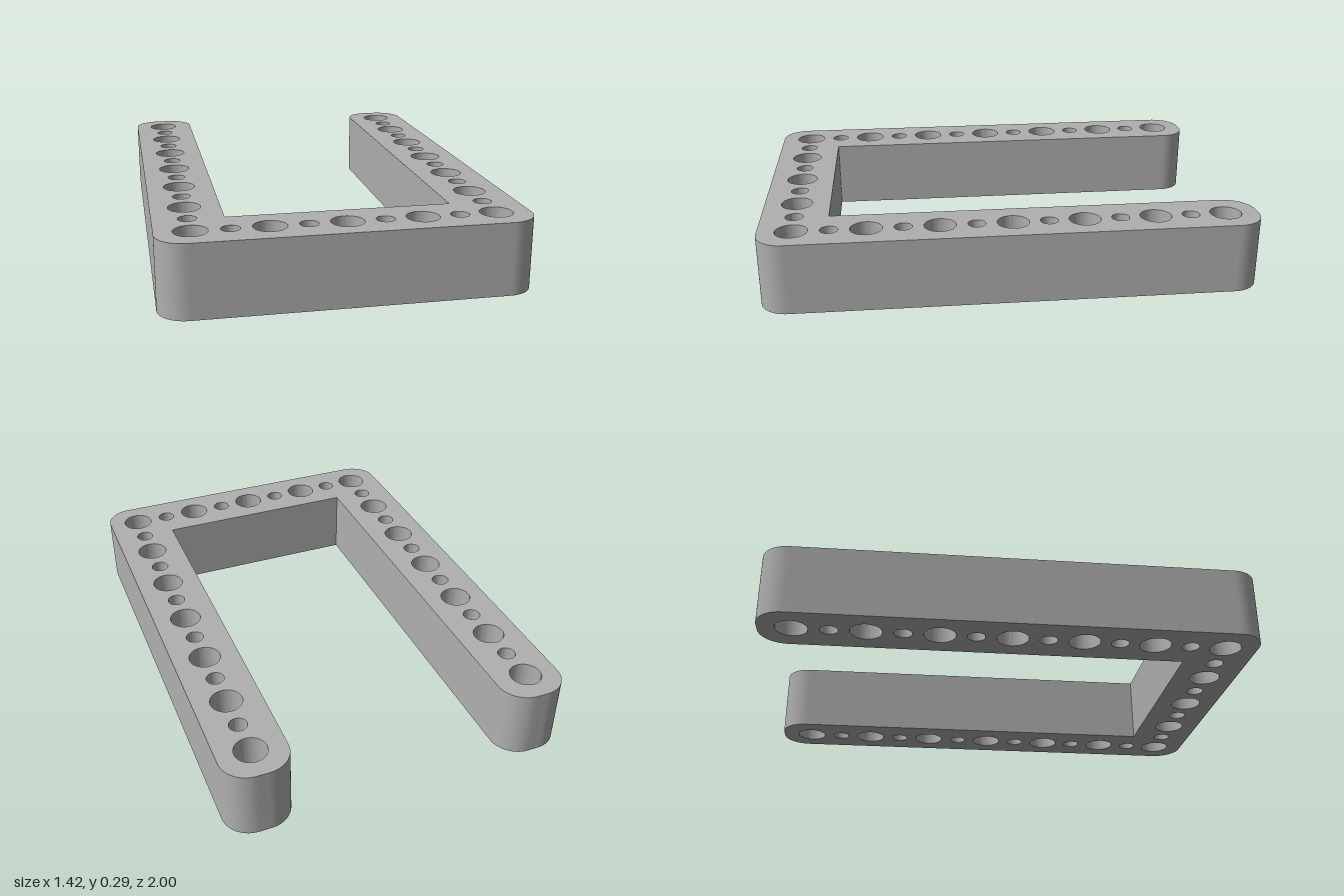
import * as THREE from 'three';
import { toCreasedNormals } from 'three/addons/utils/BufferGeometryUtils.js';

const HEIGHT = 0.289;   // thickness of the frame
const PITCH = 0.289;    // spacing between large holes
const OUT = 0.711;      // outer half width
const IN = 0.439;       // inner half width
const R = 0.112;        // outer corner radius
const BIG = 0.064, SMALL = 0.036;

// Closed outline from corners [x, z, radius]; shape y is -z
function roundedOutline(corners) {
  const shape = new THREE.Shape();
  const pts = corners.map(([x, z]) => new THREE.Vector2(x, -z));
  const n = pts.length;
  corners.forEach(([, , r], i) => {
    const p = pts[i];
    const toPrev = pts[(i + n - 1) % n].clone().sub(p).normalize();
    const toNext = pts[(i + 1) % n].clone().sub(p).normalize();
    const a = p.clone().addScaledVector(toPrev, r);
    if (i === 0) shape.moveTo(a.x, a.y);
    else shape.lineTo(a.x, a.y);
    if (r > 0) {
      const c = a.clone().addScaledVector(toNext, r);
      const e = p.clone().addScaledVector(toNext, r);
      const start = Math.atan2(a.y - c.y, a.x - c.x);
      const end = Math.atan2(e.y - c.y, e.x - c.x);
      shape.absarc(c.x, c.y, r, start, end, false);
    }
  });
  shape.closePath();
  return shape;
}

export function createModel() {
  const group = new THREE.Group();
  group.name = 'perforatedFrame';
  const grey = new THREE.MeshStandardMaterial({ color: 0xb0b0b0 });
  grey.name = 'grey';

  // U-shaped outline, anticlockwise seen from above
  const shape = roundedOutline([
    [-OUT, 1, R], [OUT, 1, R], [OUT, -1, R], [IN, -1, R],
    [IN, 0.729, 0], [-IN, 0.729, 0], [-IN, -1, R], [-OUT, -1, R],
  ]);

  // Alternating large and small through holes
  const hole = (x, z, r) => {
    const path = new THREE.Path();
    path.absarc(x, -z, r, 0, Math.PI * 2, true);
    shape.holes.push(path);
  };
  const row = 3 * PITCH, side = 2 * PITCH;
  for (let i = 0; i <= 12; i++) {
    for (const s of [-1, 1]) hole(s * side, row - i * PITCH / 2, i % 2 ? SMALL : BIG);
  }
  for (let i = -3; i <= 3; i++) hole(i * PITCH / 2, row, i % 2 ? SMALL : BIG);

  const geometry = new THREE.ExtrudeGeometry(shape, {
    depth: HEIGHT, bevelEnabled: false, curveSegments: 32,
  });
  geometry.rotateX(-Math.PI / 2);
  const frame = new THREE.Mesh(toCreasedNormals(geometry, 0.6), grey);
  frame.name = 'uFrame';
  group.add(frame);
  return group;
}
